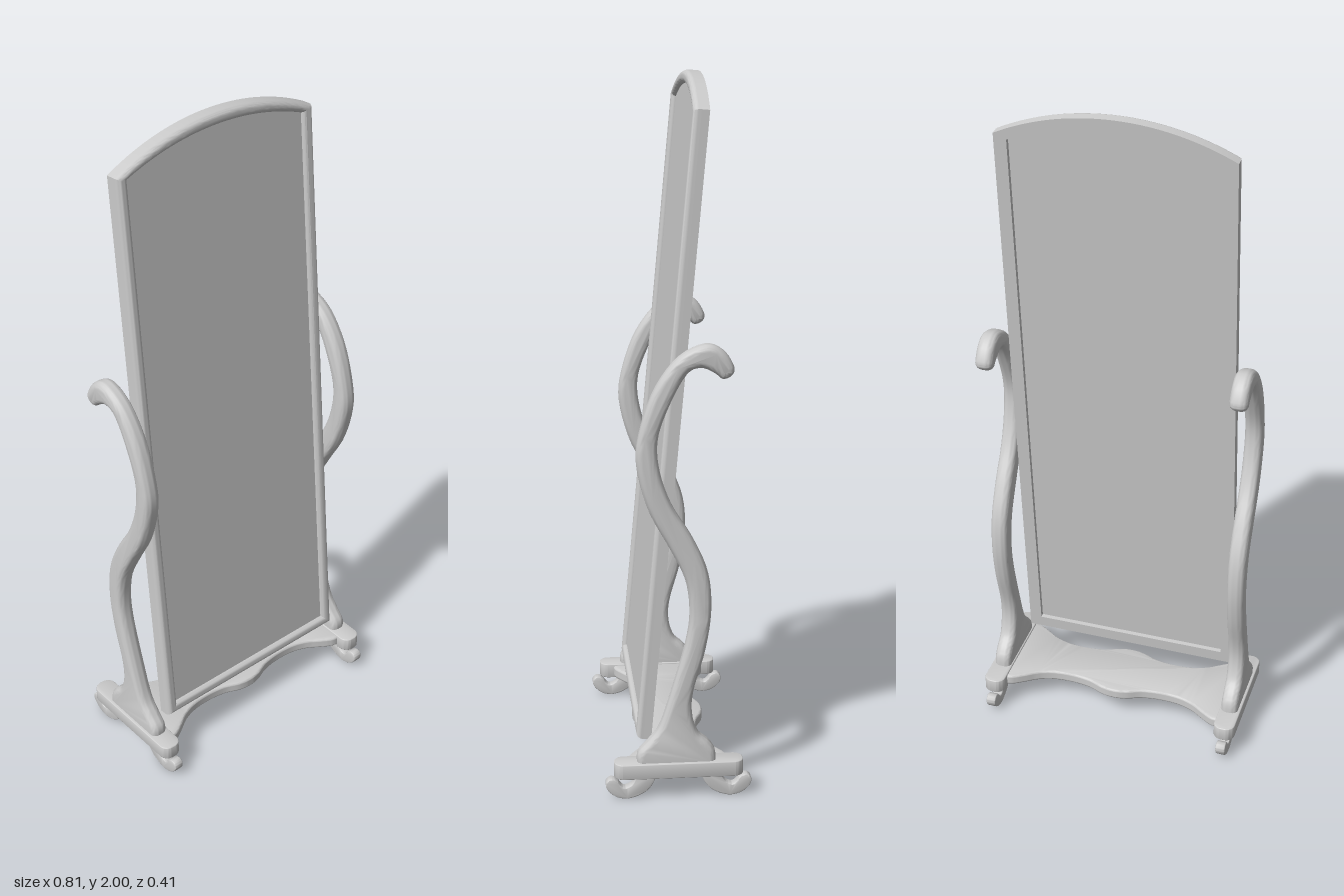
import * as THREE from 'three';
import { toCreasedNormals } from 'three/addons/utils/BufferGeometryUtils.js';

const material = new THREE.MeshStandardMaterial({ color: 0xcccccc });
const vec = ([x, y]) => new THREE.Vector2(x, y);

function mesh(name, geometry) {
  const m = new THREE.Mesh(geometry, material);
  m.name = name;
  return m;
}

// Extrusion centred on its own depth; the bevel stays inside the outline
function slab(shape, thickness, bevel = 0, bevelDepth = bevel, crease = 0.6) {
  const depth = thickness - 2 * bevelDepth;
  const g = new THREE.ExtrudeGeometry(shape, {
    depth, curveSegments: 24, bevelEnabled: bevel > 0, bevelSize: bevel,
    bevelThickness: bevelDepth, bevelOffset: -bevel, bevelSegments: 5,
  });
  g.translate(0, 0, -depth / 2);
  return toCreasedNormals(g, crease);
}

// Closed outline: a smooth spline through the points, straight across the ends
function splineShape(points, samples) {
  return new THREE.Shape(new THREE.SplineCurve(points.map(vec)).getPoints(samples));
}

// Straight sides with a shallow arched top
function archPath(path, w, y0, y1, rise) {
  const r = (w * w + rise * rise) / (2 * rise);
  const a = Math.asin(w / r);
  path.moveTo(-w, y0);
  path.lineTo(w, y0);
  path.lineTo(w, y1);
  path.absarc(0, y1 + rise - r, r, Math.PI / 2 - a, Math.PI / 2 + a, false);
  path.closePath();
  return path;
}

function createMirror() {
  const mirror = new THREE.Group();
  mirror.name = 'tiltedMirror';
  const ring = archPath(new THREE.Shape(), 0.335, 0, 1.772, 0.08);
  ring.holes.push(archPath(new THREE.Path(), 0.298, 0.037, 1.757, 0.057));
  const front = mesh('frameMoulding', slab(ring, 0.041, 0.015, 0.0195));
  front.position.z = 0.001;
  const back = mesh('frameBack', slab(ring, 0.022));
  back.position.z = -0.0105;
  const glass = mesh('mirrorPanel', slab(archPath(new THREE.Shape(), 0.31, 0.025, 1.765, 0.062), 0.016));
  mirror.add(front, back, glass);
  mirror.position.set(0, 0.157, 0.096);
  mirror.rotation.x = -0.0893;
  return mirror;
}

// Side outlines, as (z, y)
const POST = [
  [0.116, 0.09], [0.116, 0.135], [0.085, 0.172], [0.053, 0.217], [0.016, 0.333],
  [-0.02, 0.466], [-0.03, 0.556], [-0.016, 0.65], [0.03, 0.745], [0.085, 0.85],
  [0.116, 0.97], [0.11, 1.06], [0.07, 1.18], [0.005, 1.27], [-0.07, 1.307],
  [-0.12, 1.288], [-0.148, 1.243], [-0.14, 1.22], [-0.116, 1.212], [-0.095, 1.228],
  [-0.058, 1.243], [-0.02, 1.226], [0.026, 1.143], [0.058, 1.048], [0.053, 0.958],
  [0.02, 0.862], [-0.037, 0.767], [-0.08, 0.667], [-0.09, 0.556], [-0.074, 0.44],
  [-0.042, 0.323], [-0.037, 0.254], [-0.053, 0.196], [-0.082, 0.168], [-0.102, 0.138],
  [-0.106, 0.09],
];
const FOOT = [
  [0.06, 0.075], [0.075, 0.04], [0.1, 0.015], [0.14, 0], [0.175, 0.005], [0.2, 0.025],
  [0.207, 0.046], [0.195, 0.06], [0.176, 0.056], [0.166, 0.042], [0.153, 0.033],
  [0.135, 0.04], [0.125, 0.055], [0.12, 0.075],
];

function createSide(sign) {
  const side = new THREE.Group();
  side.name = sign > 0 ? 'leftSide' : 'rightSide';

  const post = mesh('curvedPost', slab(splineShape(POST, 150), 0.052, 0.018, 0.02).rotateY(-Math.PI / 2));
  post.position.x = -sign * 0.002;
  side.add(post);

  // Foot bar with rounded ends
  const w = 0.0325, l = 0.183, r = 0.028;
  const plan = new THREE.Shape();
  plan.absarc(w - r, l - r, r, 0, Math.PI / 2);
  plan.absarc(r - w, l - r, r, Math.PI / 2, Math.PI);
  plan.absarc(r - w, r - l, r, Math.PI, Math.PI * 1.5);
  plan.absarc(w - r, r - l, r, Math.PI * 1.5, Math.PI * 2);
  const bar = mesh('footBar', slab(plan, 0.045, 0.004).rotateX(-Math.PI / 2));
  bar.position.y = 0.0875;
  side.add(bar);

  // Scrolled feet at both ends of the bar
  for (const turn of [0, Math.PI]) {
    const foot = mesh('scrollFoot', slab(splineShape(FOOT, 70), 0.03, 0.004).rotateY(-Math.PI / 2));
    foot.rotation.y = turn;
    side.add(foot);
  }
  side.position.x = sign * 0.3725;
  return side;
}

// Shelf with the same wavy edge at front and back
function createShelf() {
  const quarter = [[0.36, 0.141], [0.325, 0.138], [0.29, 0.118], [0.25, 0.092], [0.2, 0.076],
    [0.14, 0.073], [0.085, 0.081], [0.04, 0.099]];
  const edge = [...quarter, [0, 0.105], ...quarter.map(([x, z]) => [-x, z]).reverse()];
  const curve = new THREE.SplineCurve(edge.map(vec)).getPoints(80);
  const outline = [...curve, ...curve.map((p) => new THREE.Vector2(-p.x, -p.y))];
  const shelf = mesh('wavyShelf', slab(new THREE.Shape(outline), 0.034, 0.008).rotateX(-Math.PI / 2));
  shelf.position.y = 0.088;
  return shelf;
}

export function createModel() {
  const model = new THREE.Group();
  model.name = 'standingMirror';
  model.add(createMirror(), createShelf(), createSide(1), createSide(-1));
  return model;
}
